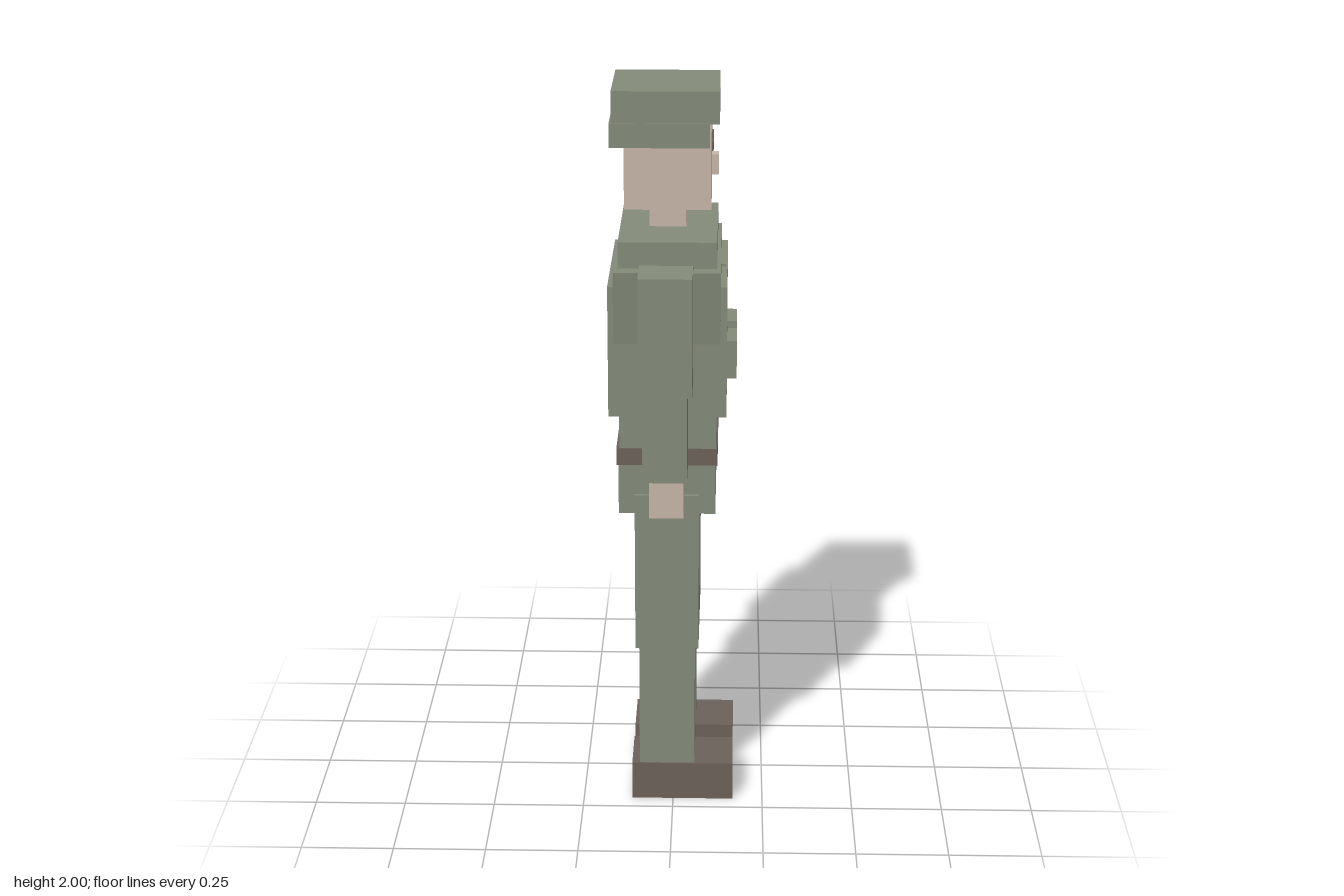
import * as THREE from 'three';

const mat = (name, hex) => {
  const m = new THREE.MeshStandardMaterial({ color: hex });
  m.name = name;
  return m;
};

export function createModel() {
  const model = new THREE.Group();
  model.name = 'uniformedFigure';
  const cloth = mat('uniform green', 0x858c7a);
  const skin = mat('skin', 0xc8b6a9);
  const leather = mat('dark leather', 0x6b625a);

  // Box given by its limits on each axis
  const box = (name, m, x0, x1, y0, y1, z0, z1) => {
    const mesh = new THREE.Mesh(new THREE.BoxGeometry(x1 - x0, y1 - y0, z1 - z0), m);
    mesh.position.set((x0 + x1) / 2, (y0 + y1) / 2, (z0 + z1) / 2);
    mesh.name = name;
    model.add(mesh);
    return mesh;
  };
  // Box centred across the body, w = half width
  const mid = (name, m, x0, x1, y0, y1, w) => box(name, m, x0, x1, y0, y1, 0.002 - w, 0.002 + w);
  // Mirrored pair; the figure looks along +x, so its sides are at +z and -z
  const pair = (name, m, x0, x1, y0, y1, a, b) => {
    box(name + 'A', m, x0, x1, y0, y1, 0.002 + a, 0.002 + b);
    box(name + 'B', m, x0, x1, y0, y1, 0.002 - b, 0.002 - a);
  };

  // Legs
  pair('boot', leather, -0.114, 0.167, 0, 0.11, 0.038, 0.199);
  pair('lowerLeg', cloth, -0.093, 0.06, 0.11, 0.466, 0.042, 0.195);
  pair('upperLeg', cloth, -0.103, 0.07, 0.466, 0.917, 0.034, 0.204);

  // Torso
  mid('pelvis', cloth, -0.146, 0.114, 0.862, 1.01, 0.194);
  mid('belt', leather, -0.151, 0.119, 1.003, 1.05, 0.2);
  mid('waist', cloth, -0.143, 0.115, 1.045, 1.2, 0.197);
  mid('upperTorso', cloth, -0.143, 0.115, 1.2, 1.62, 0.204);
  mid('vest', cloth, -0.17, 0.142, 1.15, 1.507, 0.227);
  mid('vestTab', cloth, 0.12, 0.137, 1.45, 1.514, 0.032);
  pair('chestPocket', cloth, 0.14, 0.168, 1.23, 1.335, 0.032, 0.143);

  // Shoulder yoke, narrowing downward into the vest
  const yoke = mid('shoulderYoke', cloth, -0.155, 0.125, 1.33, 1.55, 0.247);
  const p = yoke.geometry.attributes.position;
  for (let i = 0; i < p.count; i++) if (p.getY(i) < 0) p.setZ(i, p.getZ(i) * 0.91);
  yoke.geometry.computeVertexNormals();

  // Arms
  pair('upperArm', cloth, -0.087, 0.053, 1.24, 1.56, 0.212, 0.337);
  pair('forearm', cloth, -0.077, 0.04, 1.003, 1.24, 0.207, 0.332);
  pair('hand', skin, -0.06, 0.03, 0.895, 1.003, 0.223, 0.311);

  // Head
  mid('neck', skin, -0.066, 0.032, 1.61, 1.69, 0.046);
  mid('head', skin, -0.13, 0.098, 1.682, 1.92, 0.111);
  mid('nose', skin, 0.095, 0.117, 1.755, 1.808, 0.02);
  pair('eye', leather, 0.095, 0.103, 1.83, 1.855, 0.033, 0.074);

  // Cap: crown and the band around sides and back
  mid('capCrown', cloth, -0.161, 0.119, 1.915, 2, 0.136);
  mid('capBand', cloth, -0.167, 0.094, 1.853, 1.917, 0.141);

  return model;
}
